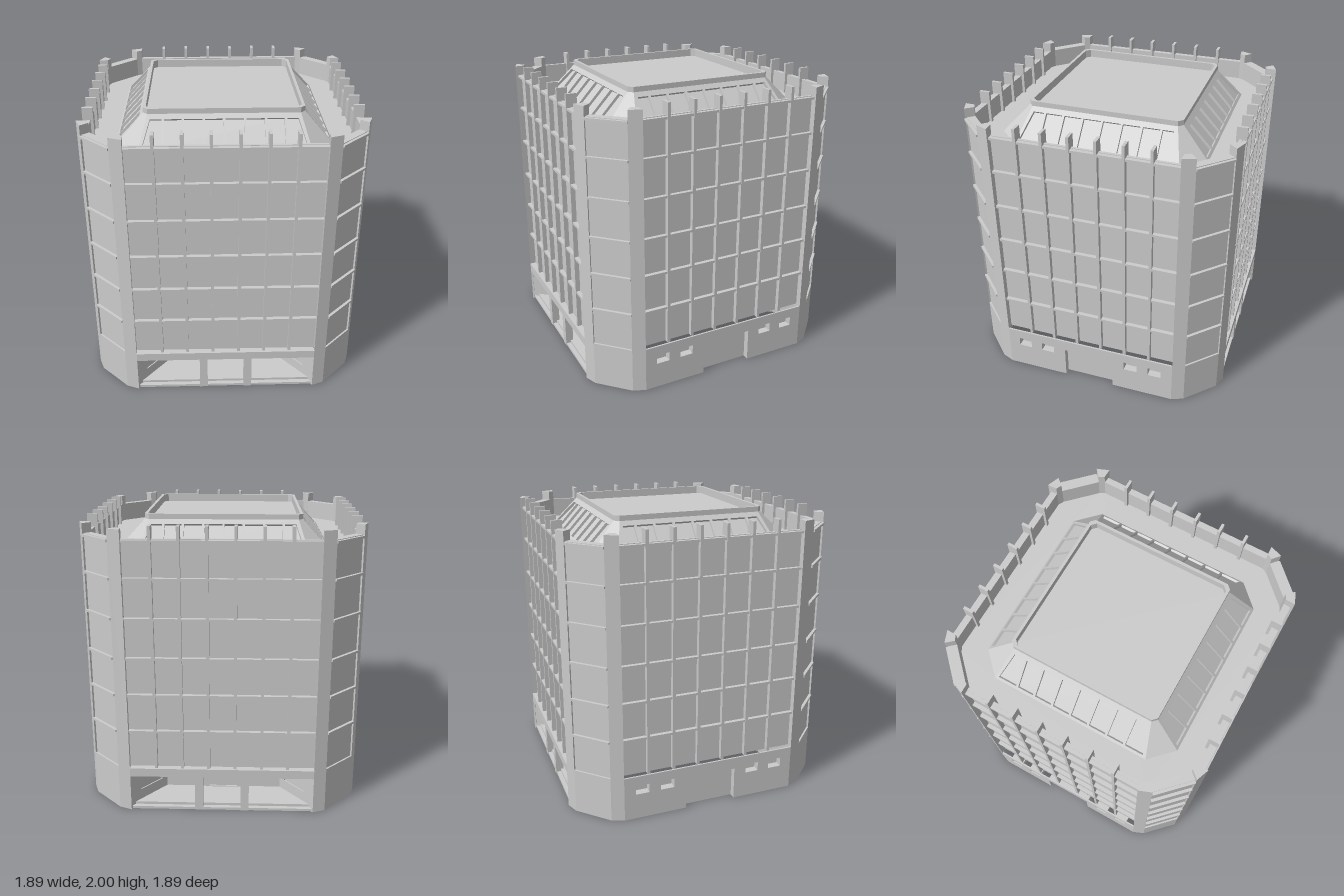
import * as THREE from 'three';
import { ConvexGeometry } from 'three/addons/geometries/ConvexGeometry.js';

const grey = new THREE.MeshStandardMaterial({ color: 0xcccccc, flatShading: true, side: THREE.DoubleSide });
const BASE = 0.32, PARAPET = 1.9, DECK = 1.765, MANSARD_TOP = 1.965, ROOF = 1.945;
const LEDGES = [0.587, 0.85, 1.11, 1.38, 1.645, 1.888];
const CORNER = [[0.63, 0.945], [0.715, 0.912], [0.912, 0.715], [0.945, 0.63]];

function add(parent, name, geometry) {
  const mesh = new THREE.Mesh(geometry, grey);
  mesh.name = name;
  parent.add(mesh);
  return mesh;
}

// Box given by its limits
function box(parent, name, x0, x1, y0, y1, z0, z1) {
  const m = add(parent, name, new THREE.BoxGeometry(x1 - x0, y1 - y0, z1 - z0));
  m.position.set((x0 + x1) / 2, (y0 + y1) / 2, (z0 + z1) / 2);
}

const shapeOf = (pts) => new THREE.Shape(pts.map(([x, y]) => new THREE.Vector2(x, y)));
const rect = (x0, x1, y0, y1) => [[x0, y0], [x1, y0], [x1, y1], [x0, y1]];
const scaled = (pts, s) => pts.map(([x, z]) => [x * s, z * s]);

// Vertical prism over a plan outline of [x, z] points
function prism(parent, name, plan, y0, y1, hole) {
  const flip = (p) => p.map(([x, z]) => [x, -z]);
  const shape = shapeOf(flip(plan));
  if (hole) shape.holes.push(shapeOf(flip(hole)));
  const g = new THREE.ExtrudeGeometry(shape, { depth: y1 - y0, bevelEnabled: false });
  g.rotateX(-Math.PI / 2).translate(0, y0, 0);
  add(parent, name, g);
}

// Flat plate with its outer face on local z = 0
function plate(parent, name, outline, holes, depth) {
  const shape = shapeOf(outline);
  holes.forEach((h) => shape.holes.push(shapeOf(h)));
  const g = new THREE.ExtrudeGeometry(shape, { depth, bevelEnabled: false });
  return add(parent, name, g.translate(0, 0, -depth));
}

// Square outline with cut corners: half size s, half flat length f
const cutSquare = (s, f) => [[f, s], [s, f], [s, -f], [f, -s], [-f, -s], [-s, -f], [-s, f], [-f, s]];

// Wall from plan point a to b, with glazed rectangular openings
function windowWall(parent, name, a, b, y0, y1, openings) {
  const wall = new THREE.Group();
  wall.name = name;
  wall.position.set(a[0], 0, a[1]);
  wall.rotation.y = -Math.atan2(b[1] - a[1], b[0] - a[0]);
  const length = Math.hypot(b[0] - a[0], b[1] - a[1]);
  plate(wall, 'wallPlate', rect(0, length, y0, y1), openings.map((o) => rect(...o)), 0.015);
  openings.forEach(([x0, x1, h0, h1]) => box(wall, 'windowPane', x0, x1, h0, h1, -0.015, -0.008));
  parent.add(wall);
}

// Upper storeys of one face: glazing, ledges and fins
function facade(side) {
  box(side, 'facadeWall', -0.635, 0.635, BASE, PARAPET, 0.88, 0.9);
  LEDGES.forEach((y) => box(side, 'floorLedge', -0.635, 0.635, y - 0.008, y + 0.008, 0.895, 0.928));
  for (const x of [0.09, 0.27, 0.45]) for (const s of [-1, 1])
    box(side, 'verticalFin', s * x - 0.01, s * x + 0.01, BASE, 1.985, 0.86, 0.932);
}

// Recessed ground-floor entrance
function entrance(side) {
  const F = 0.93, B = 0.665;
  const plan = [[-0.63, F], [0.63, F], [0.63, 0.9], [0.41, B], [-0.41, B], [-0.63, 0.9]];
  prism(side, 'entranceCeiling', plan, 0.26, BASE);
  box(side, 'entranceFascia', -0.63, 0.63, 0.26, BASE, 0.9, 0.945);
  prism(side, 'entranceStep', plan, 0, 0.018);
  prism(side, 'entranceFloor', plan.map(([x, z]) => [x, Math.min(z, 0.9)]), 0.018, 0.036);
  windowWall(side, 'entranceSideWall', [-0.63, F], [-0.41, B], 0, 0.262, [[0.095, 0.295, 0.11, 0.245]]);
  windowWall(side, 'entranceSideWall', [0.41, B], [0.63, F], 0, 0.262, [[0.049, 0.249, 0.11, 0.245]]);
  windowWall(side, 'entranceBackWall', [-0.41, B], [0.41, B], 0, 0.262,
    [[0.05, 0.18, 0.11, 0.245], [0.64, 0.77, 0.11, 0.245]]);
  plate(side, 'doorFrame', rect(-0.125, 0.125, 0.036, 0.26), [rect(-0.1, 0.1, 0.042, 0.25)], 0.012)
    .position.z = B + 0.012;
  for (const s of [-1, 1])
    box(side, 'entrancePillar', s * 0.158 - 0.028, s * 0.158 + 0.028, 0, 0.262, 0.88, 0.935);
}

// Closed ground-floor wall with a service door and small windows in boxed recesses
function serviceWall(side) {
  const holes = [-0.5, -0.32, 0.32, 0.5].map((c) => [c - 0.048, c + 0.048, 0.185, 0.25]);
  const outline = [[-0.63, 0], [-0.183, 0], [-0.183, 0.235], [0.183, 0.235], [0.183, 0], [0.63, 0],
    [0.63, BASE], [-0.63, BASE]];
  plate(side, 'serviceWall', outline, holes.map((h) => rect(...h)), 0.012).position.z = 0.945;
  const jamb = [[-0.19, 0], [-0.183, 0], [-0.183, 0.235], [0.183, 0.235], [0.183, 0], [0.19, 0],
    [0.19, 0.242], [-0.19, 0.242]];
  plate(side, 'doorSurround', jamb, [], 0.045).position.z = 0.94;
  box(side, 'serviceDoor', -0.19, 0.19, 0, 0.242, 0.89, 0.9);
  for (const [x0, x1, y0, y1] of holes) {
    const outer = rect(x0 - 0.006, x1 + 0.006, y0 - 0.006, y1 + 0.006);
    plate(side, 'windowSurround', outer, [rect(x0, x1, y0, y1)], 0.05).position.z = 0.94;
    box(side, 'smallWindow', x0 - 0.006, x1 + 0.006, y0 - 0.006, y1 + 0.006, 0.885, 0.893);
  }
}

// Cut corner between two piers
function corner(side) {
  prism(side, 'cornerBase', [...CORNER, ...scaled(CORNER, 0.987).reverse()], 0, BASE);
  const pier = [CORNER[0], CORNER[1], [0.67, 0.86], [0.632, 0.88]];
  prism(side, 'cornerPier', pier, BASE, 1.965);
  prism(side, 'cornerPier', pier.map(([x, z]) => [z, x]), BASE, 1.965);
  const cut = new THREE.Group();
  cut.name = 'cutCorner';
  cut.rotation.y = Math.PI / 4;
  box(cut, 'cornerPanel', -0.142, 0.142, BASE, PARAPET, 1.082, 1.138);
  LEDGES.forEach((y) => box(cut, 'cornerLedge', -0.138, 0.138, y - 0.008, y + 0.008, 1.13, 1.158));
  side.add(cut);
}

// One slope of the roof with a row of skylights
function skylightSlope(side) {
  const run = 0.185, rise = MANSARD_TOP - DECK, len = Math.hypot(run, rise);
  const low = 0.08 * len, high = 0.86 * len;
  const bars = [-0.4, -0.27, -0.135, 0, 0.135, 0.27, 0.4];
  const holes = [];
  for (let i = 0; i < 6; i++) holes.push(rect(bars[i] + 0.008, bars[i + 1] - 0.008, low, high));
  for (const s of [-1, 1]) holes.push([[s * 0.408, low], [s * 0.54, low], [s * 0.483, high], [s * 0.408, high]]);
  const m = plate(side, 'skylightFrame', [[-0.565, 0], [0.565, 0], [0.5, len], [-0.5, len]], holes, 0.02);
  m.position.set(0, DECK, 0.715);
  m.rotation.x = -Math.atan2(run, rise);
  // Solid hip between this slope and the next
  const hip = [];
  for (const [d, drop] of [[0, 0], [0.04, 0.025]]) {
    hip.push([0.565 - d, DECK - drop, 0.715 - d], [0.715 - d, DECK - drop, 0.565 - d],
      [0.5 - d / 4, MANSARD_TOP - drop, 0.53 - d / 4], [0.53 - d / 4, MANSARD_TOP - drop, 0.5 - d / 4]);
  }
  add(side, 'roofHip', new ConvexGeometry(hip.map((p) => new THREE.Vector3(...p))));
}

export function createModel() {
  const model = new THREE.Group();
  model.name = 'officeBuilding';

  for (let k = 0; k < 4; k++) {
    const side = new THREE.Group();
    side.name = ['frontSide', 'leftSide', 'backSide', 'rightSide'][k];
    side.rotation.y = k * Math.PI / 2;
    facade(side);
    (k % 2 ? serviceWall : entrance)(side);
    corner(side);
    skylightSlope(side);
    model.add(side);
  }

  // Slabs: ground-floor ceiling filling the whole footprint, and the roof deck
  const footprint = [];
  for (const [c, s] of [[1, 0], [0, 1], [-1, 0], [0, -1]])
    footprint.push(...CORNER.map(([x, z]) => [x * c + z * s, z * c - x * s]).reverse());
  prism(model, 'groundFloorCeiling', scaled(footprint, 0.995), BASE - 0.02, BASE - 0.001);
  prism(model, 'roofDeck', cutSquare(0.89, 0.66), DECK - 0.02, DECK);

  // Core behind the skylights, whose flat top is the sunken roof, and the raised rim around it
  const core = [];
  for (const [plan, y] of [[cutSquare(0.692, 0.55), DECK], [cutSquare(0.522, 0.485), ROOF]])
    plan.forEach(([x, z]) => core.push(new THREE.Vector3(x, y, z)));
  add(model, 'skylightGlass', new ConvexGeometry(core));
  prism(model, 'roofRim', cutSquare(0.53, 0.5), 1.955, 2.0, cutSquare(0.51, 0.48));
  prism(model, 'roofRimBase', cutSquare(0.515, 0.49), 1.935, 1.96, cutSquare(0.51, 0.48));
  return model;
}
